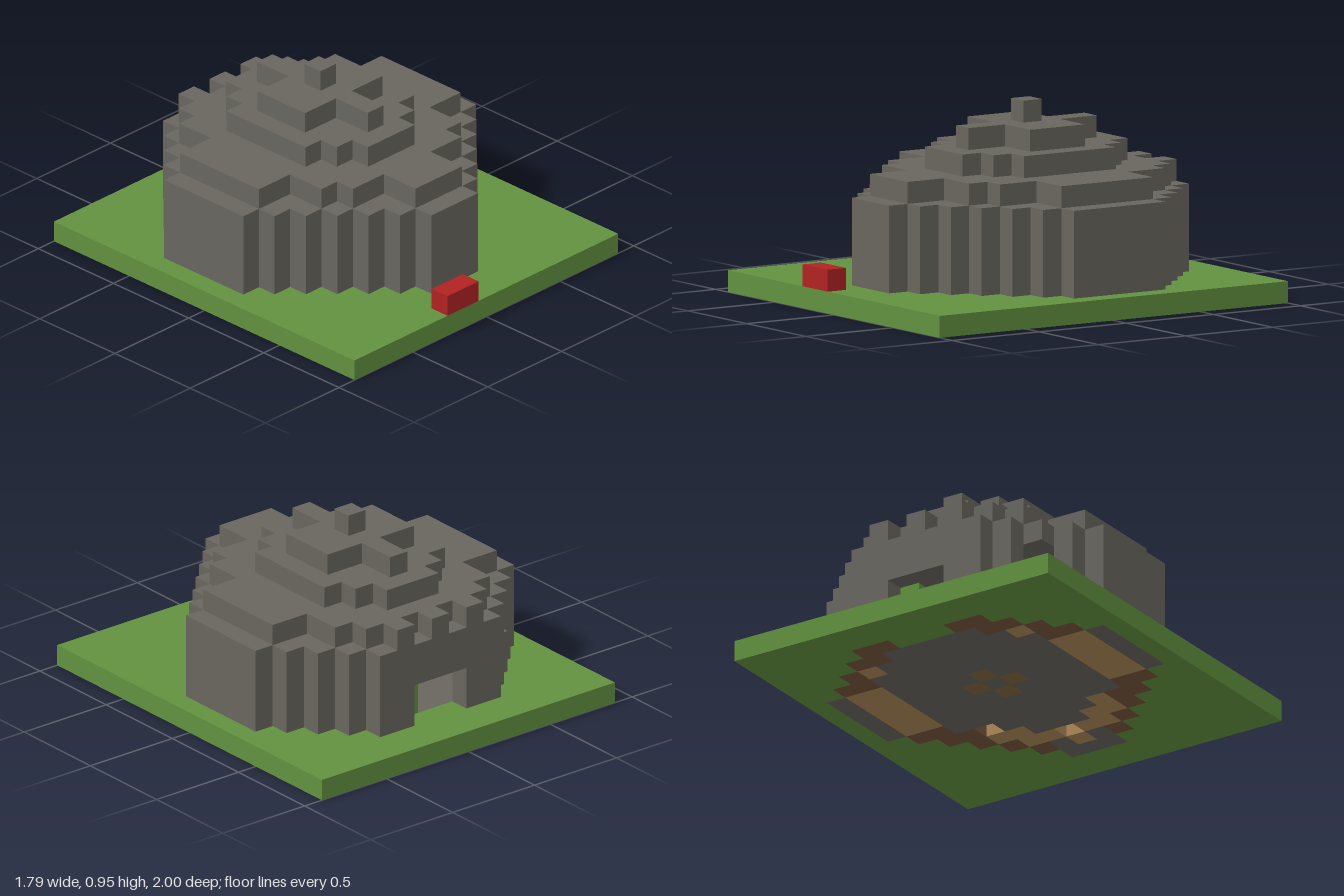
import * as THREE from 'three';

const U = 2 / 19; // edge of one block

const mat = (name, color) => {
  const m = new THREE.MeshStandardMaterial({ color });
  m.name = name;
  return m;
};

// Footprint half widths (in whole blocks beside the centre) for rows 2..16, back to front
const WALL = [3, 4, 5, 6, 7, 7, 7, 7, 7, 6, 5, 4, 3, 2, 1];
// Stepped roof layers: first row and half widths
const ROOF = [
  { y: 5, row: 3, half: [3, 4, 4, 6, 6, 6, 6, 6, 4, 4, 3, 1, 1] },
  { y: 6, row: 4, half: [1, 2, 3, 3, 3, 3, 3, 2, 1] },
  { y: 7, row: 5, half: [0, 0, 2, 2, 2, 0, 0] },
];
// Floor pattern from the centre outwards, rows 2..16
const FLOOR = ['ssdd', 'sssdd', 'sssstd', 'sssssdd', 'ssssstts', 'osssstts', 'sossstts', 'osssstts',
  'ssssstts', 'sssssdd', 'ssstdd', 'ssttd', 'tttd', 'tsd', 'ss'];

export function createModel() {
  const stone = mat('stone', 0x69665f);
  const grass = mat('grass', 0x61913f);
  const red = mat('red', 0xb22222);
  const planks = mat('planks', 0xae8957);
  const darkWood = mat('darkWood', 0x77573d);
  const logs = mat('logs', 0x82683d);

  const cells = new Map();
  const key = (x, y, z) => `${x},${y},${z}`;
  const put = (part, material, x, y, z) => cells.set(key(x, y, z), { part, material, x, y, z });
  const inWall = (x, z) => Math.abs(x) <= (WALL[z - 2] ?? -1);

  // Ground slab with the patterned floor let into it
  const floorParts = {
    s: ['stoneFloor', stone], t: ['plankFloor', planks],
    d: ['darkWoodFloor', darkWood], o: ['hearthLogs', logs],
  };
  for (let z = 0; z < 19; z++) {
    for (let x = -8; x <= 8; x++) {
      const [part, material] = floorParts[FLOOR[z - 2]?.[Math.abs(x)]] ?? ['ground', grass];
      put(part, material, x, 0, z);
    }
  }
  for (let x = -1; x <= 1; x++) put('ground', grass, x, 0, 2);
  // Two openings in the floor
  cells.delete(key(3, 0, 12));
  cells.delete(key(0, 0, 14));

  // Hollow outer wall, closed above by a full layer
  for (let z = 2; z <= 16; z++) {
    for (let x = -7; x <= 7; x++) {
      if (!inWall(x, z)) continue;
      let edge = false;
      for (let i = -1; i <= 1; i++) for (let j = -1; j <= 1; j++) edge ||= !inWall(x + i, z + j);
      if (edge) for (let y = 1; y <= 3; y++) put('wall', stone, x, y, z);
      put('wall', stone, x, 4, z);
    }
  }
  // Back doorway and corner window
  for (let x = -1; x <= 1; x++) for (let y = 1; y <= 2; y++) {
    cells.delete(key(x, y, 2));
    cells.delete(key(x, y, 3));
  }
  cells.delete(key(-5, 3, 4));
  cells.delete(key(-4, 3, 4));
  cells.delete(key(-4, 3, 5));
  cells.delete(key(-5, 3, 5));
  // Open door leaf
  for (let y = 1; y <= 2; y++) put('door', grass, 1, y, 3);

  // Roof steps, battlements and finial
  for (const { y, row, half } of ROOF) {
    half.forEach((h, i) => {
      for (let x = -h; x <= h; x++) put('roof', stone, x, y, row + i);
    });
  }
  for (const x of [-2, 0, 2]) put('battlements', stone, x, 5, 2);
  put('finial', stone, 0, 8, 8);

  // Red bench at the front edge
  for (const x of [-2, -1]) put('bench', red, x, 1, 18);

  // Build only the exposed block faces, gathered by part
  const parts = new Map();
  for (const c of cells.values()) {
    if (!parts.has(c.part)) parts.set(c.part, { material: c.material, pos: [], nor: [] });
    const { pos, nor } = parts.get(c.part);
    const mid = [c.x, c.y + 0.5, c.z - 9];
    for (let axis = 0; axis < 3; axis++) {
      for (const s of [-1, 1]) {
        const n = [0, 0, 0];
        n[axis] = s;
        if (cells.has(key(c.x + n[0], c.y + n[1], c.z + n[2]))) continue;
        const corner = (a, b) => {
          const p = [...mid];
          p[axis] += s / 2;
          p[(axis + 1) % 3] += a / 2;
          p[(axis + 2) % 3] += (b * s) / 2;
          return p.map((v) => v * U);
        };
        const q = [corner(-1, -1), corner(1, -1), corner(1, 1), corner(-1, 1)];
        for (const i of [0, 1, 2, 0, 2, 3]) {
          pos.push(...q[i]);
          nor.push(...n);
        }
      }
    }
  }

  const group = new THREE.Group();
  group.name = 'domedHouse';
  for (const [name, { material, pos, nor }] of parts) {
    const geo = new THREE.BufferGeometry();
    geo.setAttribute('position', new THREE.Float32BufferAttribute(pos, 3));
    geo.setAttribute('normal', new THREE.Float32BufferAttribute(nor, 3));
    const mesh = new THREE.Mesh(geo, material);
    mesh.name = name;
    group.add(mesh);
  }
  return group;
}
